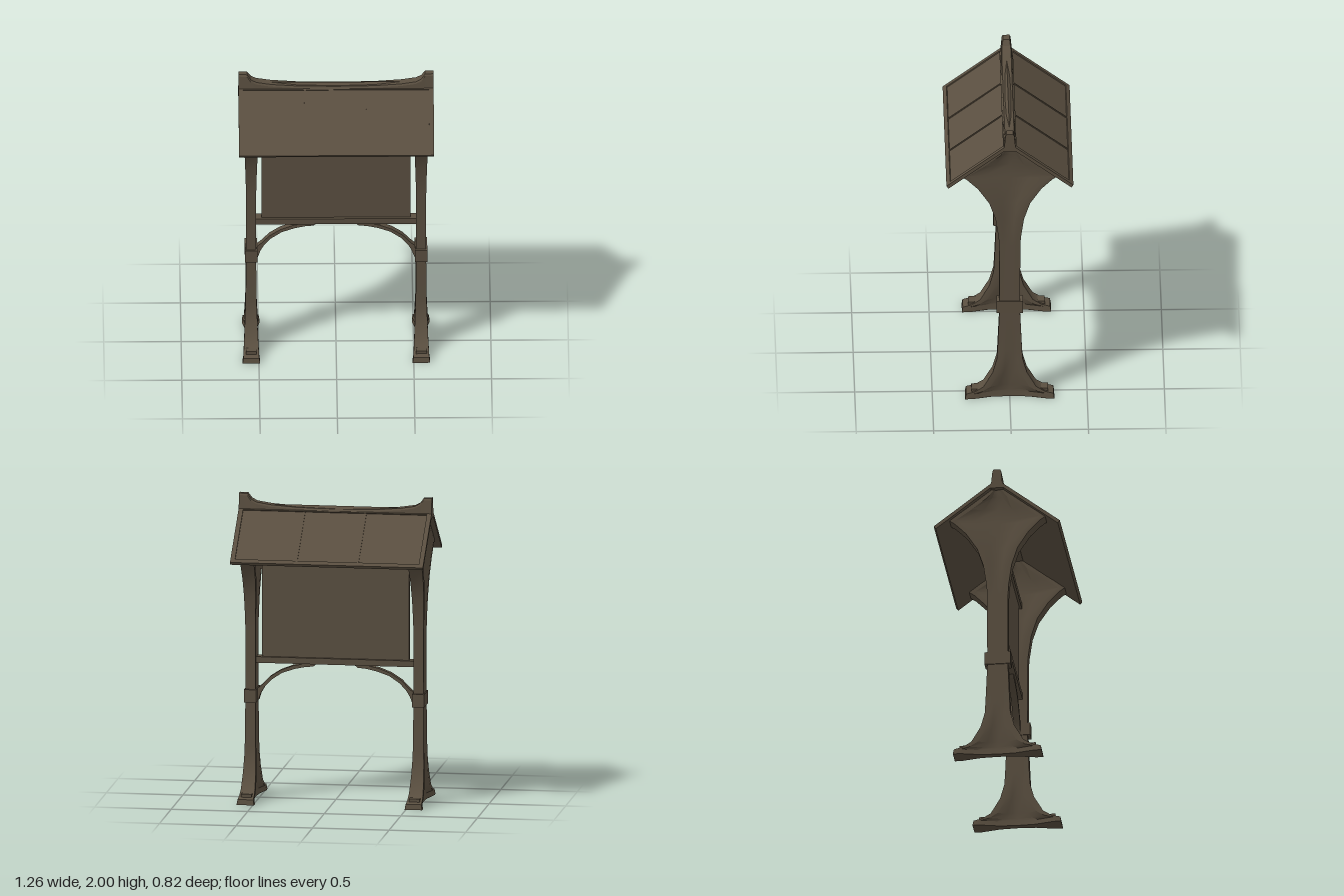
import * as THREE from 'three';
import { toCreasedNormals } from 'three/addons/utils/BufferGeometryUtils.js';

const wood = new THREE.MeshStandardMaterial({ color: 0x5a4f40 });
wood.name = 'dark brown wood';

function mesh(name, geometry, parent) {
  const m = new THREE.Mesh(geometry, wood);
  m.name = name;
  parent.add(m);
  return m;
}

function box(name, w, h, d, x, y, z, parent) {
  const m = mesh(name, new THREE.BoxGeometry(w, h, d), parent);
  m.position.set(x, y, z);
  return m;
}

// Skin a list of closed rings (each the same length) and close both ends
function loft(rings, crease) {
  const n = rings[0].length, pos = [], idx = [];
  rings.forEach(r => r.forEach(p => pos.push(...p)));
  for (let i = 0; i < rings.length - 1; i++) {
    for (let j = 0; j < n; j++) {
      const a = i * n + j, b = i * n + (j + 1) % n;
      idx.push(a, b, b + n, a, b + n, a + n);
    }
  }
  [0, rings.length - 1].forEach((k, end) => {
    const c = pos.length / 3, r = rings[k];
    for (let q = 0; q < 3; q++) pos.push(r.reduce((s, p) => s + p[q], 0) / n);
    for (let j = 0; j < n; j++) {
      const a = k * n + j, b = k * n + (j + 1) % n;
      if (end) idx.push(c, a, b); else idx.push(c, b, a);
    }
  });
  const g = new THREE.BufferGeometry();
  g.setAttribute('position', new THREE.Float32BufferAttribute(pos, 3));
  g.setIndex(idx);
  return toCreasedNormals(g, crease);
}

// Post: height, half depth, half width, depth of the hollow in the side faces
const POST = [
  [0, 0.288, 0.057, 0.036], [0.035, 0.282, 0.051, 0.034], [0.05, 0.225, 0.049, 0.033],
  [0.085, 0.17, 0.046, 0.028], [0.19, 0.11, 0.041, 0.015], [0.29, 0.083, 0.037, 0.004],
  [0.36, 0.079, 0.035, 0], [0.63, 0.067, 0.033, 0], [1.13, 0.068, 0.033, 0],
  [1.2, 0.072, 0.034, 0.002], [1.34, 0.092, 0.038, 0.009], [1.46, 0.132, 0.042, 0.017],
  [1.57, 0.205, 0.045, 0.024], [1.64, 0.275, 0.047, 0.028], [1.668, 0.315, 0.048, 0.03],
  [1.74, 0.21, 0.048, 0.03], [1.82, 0.105, 0.048, 0.02], [1.895, 0.008, 0.048, 0],
];

function postGeometry() {
  const rings = POST.map(([y, d, w, r]) => {
    const e = d - Math.min(0.045, d * 0.4);
    const side = [[d, w], [e, w], [e * 0.55, w - r * 0.8], [0, w - r],
      [-e * 0.55, w - r * 0.8], [-e, w], [-d, w]];
    const half = side.map(([z, x]) => [x, y, z]);
    return [...half, ...half.map(([x, , z]) => [-x, y, -z])];
  });
  return loft(rings, 0.5);
}

// Curved brace drawn on the +x side
function braceGeometry(s) {
  const sh = new THREE.Shape();
  sh.moveTo(0.53 * s, 0.635);
  sh.lineTo(0.505 * s, 0.64);
  sh.lineTo(0.487 * s, 0.69);
  const inner = [[0.465, 0.728], [0.42, 0.778], [0.35, 0.825], [0.27, 0.853], [0.2, 0.868], [0.145, 0.873]];
  const outer = [[0.12, 0.893], [0.2, 0.89], [0.28, 0.874], [0.36, 0.843], [0.43, 0.798], [0.48, 0.745], [0.51, 0.72], [0.53, 0.72]];
  [...inner, ...outer].forEach(([x, y]) => sh.lineTo(x * s, y));
  const g = new THREE.ExtrudeGeometry(sh, { depth: 0.044, bevelEnabled: false });
  g.translate(0, 0, -0.022);
  return toCreasedNormals(g, 0.4);
}

// Ridge beam with upturned ends: x, top height, half width at the top
function ridgeGeometry() {
  const half = [[0, 1.914, 0.034], [0.25, 1.918, 0.034], [0.42, 1.93, 0.034], [0.515, 1.945, 0.033],
    [0.55, 1.963, 0.031], [0.575, 1.998, 0.025], [0.63, 2.0, 0.025]];
  const all = [...half.slice(1).reverse().map(([x, y, w]) => [-x, y, w]), ...half];
  const rings = all.map(([x, y, w]) => [[x, 1.87, -0.04], [x, y - 0.012, -w - 0.003], [x, y, -w + 0.004],
    [x, y, w - 0.004], [x, y - 0.012, w + 0.003], [x, 1.87, 0.04]]);
  return loft(rings, 0.4);
}

export function createModel() {
  const model = new THREE.Group();
  model.name = 'noticeBoardShelter';

  // Posts with collars, foot bolts and braces
  for (const s of [1, -1]) {
    const side = new THREE.Group();
    side.name = s > 0 ? 'leftSupport' : 'rightSupport';
    model.add(side);
    mesh('post', postGeometry(), side).position.x = 0.549 * s;
    box('collar', 0.08, 0.085, 0.17, 0.549 * s, 0.678, 0, side);
    for (const z of [0.225, -0.225]) box('footBolt', 0.07, 0.03, 0.045, 0.549 * s, 0.05, z, side);
    mesh('brace', braceGeometry(s), side);
  }

  // Display board and its rails
  box('board', 0.96, 0.63, 0.03, 0, 1.235, 0, model);
  box('topRail', 1.05, 0.04, 0.06, 0, 1.56, 0, model);
  box('bottomRail', 1.05, 0.04, 0.07, 0, 0.91, 0, model);

  // Two roof slopes, each a sheet with a raised frame and battens
  const angle = Math.atan(0.765), len = 0.41 / Math.cos(angle);
  for (const s of [1, -1]) {
    const slope = new THREE.Group();
    slope.name = s > 0 ? 'frontRoof' : 'backRoof';
    slope.position.y = 1.93;
    slope.rotation.set(angle, 0, 0);
    const turn = new THREE.Group();
    turn.name = slope.name + 'Side';
    turn.rotation.y = s > 0 ? 0 : Math.PI;
    turn.add(slope);
    model.add(turn);
    box('roofSheet', 1.25, 0.014, len - 0.01, 0, -0.015, len / 2, slope);
    box('eaveTrim', 1.26, 0.022, 0.03, 0, -0.011, len - 0.015, slope);
    box('ridgeTrim', 1.26, 0.022, 0.055, 0, -0.011, 0.0275, slope);
    for (const x of [-0.615, 0.615]) box('edgeTrim', 0.03, 0.022, len, x, -0.011, len / 2, slope);
    for (const x of [-0.2, 0.2]) box('batten', 0.012, 0.014, len - 0.04, x, -0.01, len / 2, slope);
  }

  mesh('ridgeBeam', ridgeGeometry(), model);
  return model;
}
